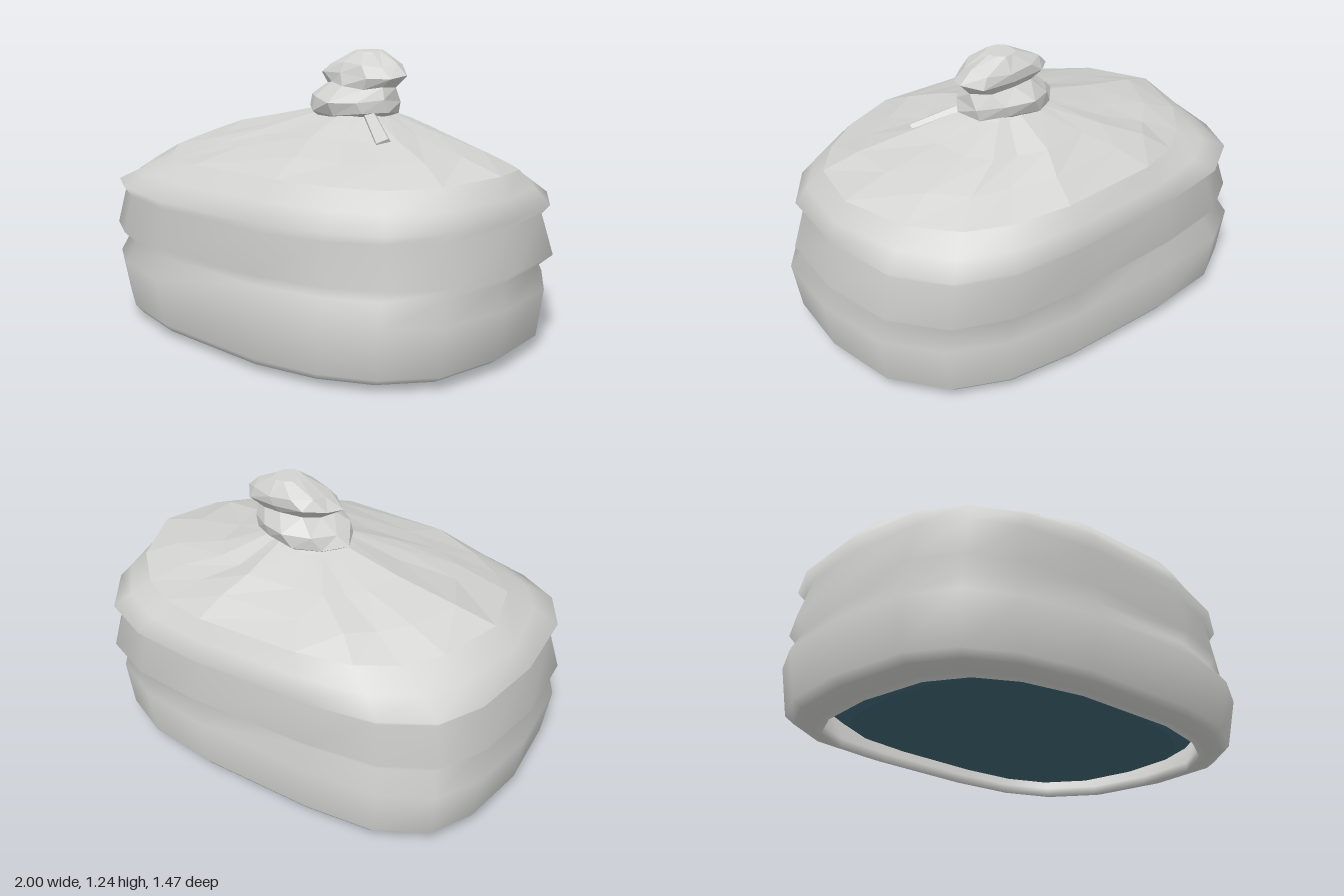
import * as THREE from 'three';

// Plan outline of the sack, as [x, z] pairs going round from the back
const OUTLINE = [
  [0.2, -0.735], [0.53, -0.71], [0.77, -0.61], [0.94, -0.39], [1, -0.05], [0.97, 0.29],
  [0.82, 0.5], [0.6, 0.63], [0.3, 0.71], [-0.3, 0.73], [-0.63, 0.67], [-0.83, 0.56],
  [-0.95, 0.37], [-1, 0], [-0.97, -0.33], [-0.88, -0.53], [-0.67, -0.66], [-0.35, -0.71],
];

// Ring following the outline: scale, centre, skew of z along x, rounding of the corners
// (which also lowers them), and pleat, which pushes points in and out
function sackRing(y, sx, { sz = sx, cx = 0, cz = 0, skew = 0, round = 0, pleat = 0 } = {}) {
  return OUTLINE.map(([x, z], i) => {
    const corner = Math.hypot(x, z / 0.73);
    const p = pleat * (Math.sin(i * 2.4 + y * 9) + 0.5 * Math.sin(i * 4.1));
    const k = (1 + p) * Math.pow(corner, -round);
    const drop = 0.35 * round * Math.max(0, corner - 1) * sx;
    return [cx + x * sx * k, y + p * 0.1 - drop, cz + (z + skew * x) * sz * k];
  });
}

// Skin a stack of rings, optionally closing the first and last
function loft(rings, { flat = false, capStart = false, capEnd = false } = {}) {
  const n = rings[0].length;
  const points = rings.flat();
  const index = [];
  for (let r = 0; r < rings.length - 1; r++) {
    for (let i = 0; i < n; i++) {
      const j = (i + 1) % n;
      const a = r * n + i, b = r * n + j, c = a + n, d = b + n;
      index.push(a, c, b, b, c, d);
    }
  }
  const cap = (ring, first, up) => {
    const centre = [0, 1, 2].map((k) => ring.reduce((s, p) => s + p[k], 0) / n);
    const m = points.push(centre) - 1;
    for (let i = 0; i < n; i++) {
      const a = first + i, b = first + (i + 1) % n;
      index.push(m, up ? b : a, up ? a : b);
    }
  };
  if (capStart) cap(rings[0], 0, false);
  if (capEnd) cap(rings[rings.length - 1], (rings.length - 1) * n, true);
  let geo = new THREE.BufferGeometry();
  geo.setAttribute('position', new THREE.Float32BufferAttribute(points.flat(), 3));
  geo.setIndex(index);
  if (flat) geo = geo.toNonIndexed();
  geo.computeVertexNormals();
  return geo;
}

export function createModel() {
  const model = new THREE.Group();
  model.name = 'tiedSack';

  const cloth = new THREE.MeshStandardMaterial({ color: 0xd2d2d0, side: THREE.DoubleSide });
  cloth.name = 'pale grey cloth';
  const filling = new THREE.MeshStandardMaterial({ color: 0x3f6473 });
  filling.name = 'dark teal filling';

  const add = (name, geo, material) => {
    const mesh = new THREE.Mesh(geo, material);
    mesh.name = name;
    model.add(mesh);
    return mesh;
  };

  // Bulging walls with two pinched creases, and a lip turned in round the open base
  const low = { skew: 0.02 };
  const high = { skew: -0.025 };
  const shoulder = () => sackRing(0.785, 0.86, { sz: 0.87, cx: 0.04, cz: -0.035, skew: -0.025, round: 1 });
  add('sackWall', loft([
    sackRing(0.22, 0.9, low),
    sackRing(0.04, 0.82, low),
    sackRing(0.0, 0.82, low),
    sackRing(0.008, 0.86, low),
    sackRing(0.03, 0.93, low),
    sackRing(0.06, 0.97, { ...low, sz: 0.96 }),
    sackRing(0.27, 1, { ...low, cz: 0.008 }),
    sackRing(0.36, 0.953, { sz: 0.93 }),
    sackRing(0.41, 1, { ...high, sz: 0.985, cz: -0.01 }),
    sackRing(0.58, 0.945, { ...high, cz: -0.005 }),
    sackRing(0.62, 0.975, { ...high, sz: 0.985, cz: -0.01 }),
    sackRing(0.7, 0.925, { ...high, sz: 0.935, cx: 0.02, cz: -0.02, round: 0.45 }),
    shoulder(),
  ]), cloth);

  // Faceted pleats gathered up to the neck
  add('gatheredTop', loft([
    shoulder(),
    sackRing(0.845, 0.68, { sz: 0.66, cx: 0.045, cz: -0.06, round: 1, pleat: 0.03 }),
    sackRing(0.9, 0.42, { sz: 0.46, cx: 0.05, cz: -0.085, round: 1, pleat: 0.05 }),
    sackRing(0.965, 0.2, { sz: 0.22, cx: 0.08, cz: -0.09, round: 1, pleat: 0.03 }),
    sackRing(0.99, 0.12, { cx: 0.1, cz: -0.09 }),
  ], { flat: true }), cloth);

  // Crumpled knot: height, centre x and z, radius x and z
  const knotRows = [
    [0.95, 0.08, -0.08, 0.18, 0.13],
    [0.975, 0.085, -0.08, 0.225, 0.17],
    [1.03, 0.1, -0.08, 0.205, 0.185],
    [1.09, 0.135, -0.085, 0.17, 0.12],
    [1.135, 0.13, -0.105, 0.235, 0.13],
    [1.18, 0.135, -0.115, 0.175, 0.12],
    [1.235, 0.145, -0.125, 0.06, 0.065],
  ];
  const SIDES = 10;
  const knotRings = knotRows.map(([y, cx, cz, rx, rz], r) =>
    Array.from({ length: SIDES }, (_, i) => {
      const a = (i / SIDES) * Math.PI * 2 + r * 0.1;
      const k = 1 + 0.06 * Math.sin(i * 2.7 + r * 1.1);
      const lift = r < knotRows.length - 1 ? 0.01 * Math.sin(i * 1.7 + r) : 0;
      return [cx + Math.cos(a) * rx * k, y + lift, cz + Math.sin(a) * rz * k];
    }));
  add('knot', loft(knotRings, { flat: true, capStart: true, capEnd: true }), cloth);

  // Loose fold running down from the knot and sinking into the cloth
  const start = new THREE.Vector3(0.2, 0.985, -0.05);
  const end = new THREE.Vector3(0.44, 0.865, 0.09);
  const dir = start.clone().sub(end);
  const foldGeo = new THREE.CylinderGeometry(0.03, 0.045, dir.length(), 5).toNonIndexed();
  foldGeo.computeVertexNormals();
  const fold = add('looseFold', foldGeo, cloth);
  fold.position.copy(start).add(end).multiplyScalar(0.5);
  fold.quaternion.setFromUnitVectors(new THREE.Vector3(0, 1, 0), dir.normalize());

  // Bevelled block of filling seen through the open base
  add('filling', loft([
    sackRing(0.04, 0.71, low),
    sackRing(0.11, 0.82, low),
    sackRing(0.55, 0.82, low),
  ], { flat: true, capStart: true, capEnd: true }), filling);

  return model;
}
